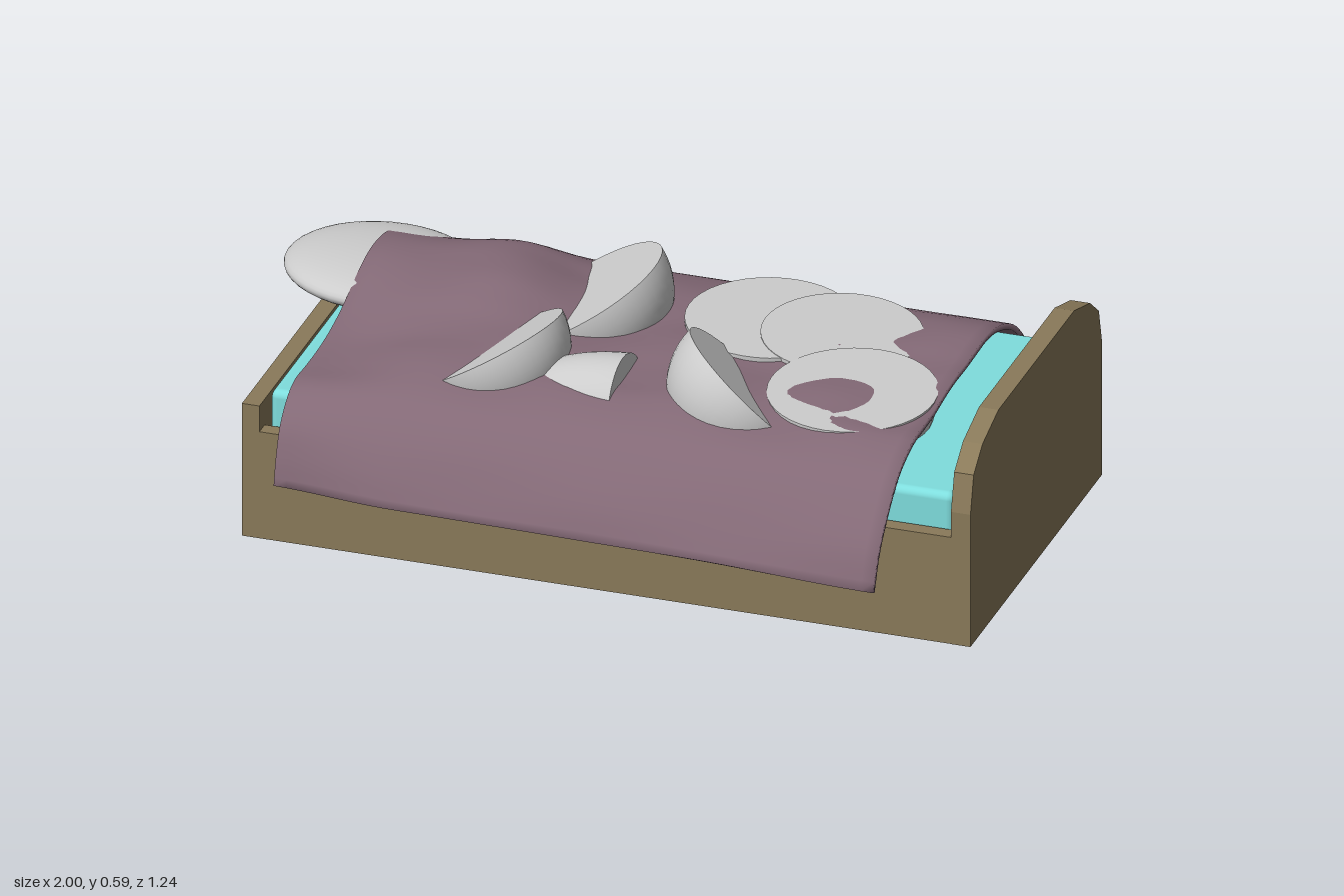
import * as THREE from 'three';
import { RoundedBoxGeometry } from 'three/addons/geometries/RoundedBoxGeometry.js';

const mat = (color, side = THREE.FrontSide) => new THREE.MeshStandardMaterial({ color, side });
const wood = mat(0x8a7a5a);
const teal = mat(0x7fdede);
const cloth = mat(0x836976, THREE.DoubleSide);
const grey = mat(0xcccccc, THREE.DoubleSide);

function add(parent, name, geometry, material, x = 0, y = 0, z = 0) {
  const mesh = new THREE.Mesh(geometry, material);
  mesh.name = name;
  mesh.position.set(x, y, z);
  parent.add(mesh);
  return mesh;
}

// box given by its minimum and maximum corners
function block(parent, name, a, b) {
  const s = b.map((v, i) => v - a[i]);
  const c = b.map((v, i) => (v + a[i]) / 2);
  return add(parent, name, new THREE.BoxGeometry(...s), wood, ...c);
}

// height of the blanket where it lies on the mattress
function blanketTop(x, z) {
  const g = (cx, cz, wx, wz) => Math.exp(-(((x - cx) / wx) ** 2) - ((z - cz) / wz) ** 2);
  const foot = THREE.MathUtils.smoothstep(-x, 0.35, 0.77);
  const front = THREE.MathUtils.smoothstep(z, -0.1, 0.15);
  return 0.452 + 0.055 * g(-0.42, -0.15, 0.17, 0.24) + 0.03 * g(-0.75, -0.2, 0.25, 0.2)
    - 0.045 * foot * front + 0.012 * g(0.8, -0.2, 0.3, 0.25)
    + 0.007 * Math.sin(13 * x + 7 * z) * Math.cos(15 * z - 4 * x);
}

// one cross-section of the blanket, from the back hem to the front hem
function blanketSection(x) {
  const foot = THREE.MathUtils.smoothstep(-x, 0.45, 0.8);
  const hemY = 0.185 - 0.015 * THREE.MathUtils.smoothstep(x, 0.3, 0.8);
  const side = (s) => {
    const out = 0.61 + 0.012 * Math.sin(2.2 * x) - (s < 0 ? 0.06 : 0.03) * foot;
    return [
      [out, hemY],
      [0.53 + (out - 0.53) * 0.55, 0.255 + 0.005 * Math.sin(9 * x + s)],
      [0.515, 0.335],
      [0.43, 0.405 - (s > 0 ? 0.01 * foot : 0)],
    ].map(([z, y]) => new THREE.Vector3(x, y, z * s));
  };
  const middle = [];
  for (let i = -4; i <= 4; i++) {
    const z = i * 0.08;
    middle.push(new THREE.Vector3(x, blanketTop(x, z) - 0.01 * (i / 4) ** 4, z));
  }
  return new THREE.CatmullRomCurve3([...side(-1), ...middle, ...side(1).reverse()]);
}

// closed thin sheet: each ring runs along the upper side and back along the lower side
function blanketGeometry() {
  const nx = 48, nz = 60, ring = 2 * (nz + 1), thick = 0.015;
  const pos = [], index = [];
  for (let i = 0; i <= nx; i++) {
    const curve = blanketSection(-0.77 + (1.56 * i) / nx);
    const upper = [], lower = [];
    for (let j = 0; j <= nz; j++) {
      const p = curve.getPoint(j / nz), t = curve.getTangent(j / nz);
      upper.push(p);
      lower.unshift(new THREE.Vector3(p.x, p.y - t.z * thick, p.z + t.y * thick));
    }
    for (const p of [...upper, ...lower]) pos.push(p.x, p.y, p.z);
  }
  for (let i = 0; i < nx; i++) {
    for (let j = 0; j < ring; j++) {
      const a = i * ring + j, b = i * ring + ((j + 1) % ring);
      index.push(a, b, a + ring, b, b + ring, a + ring);
    }
  }
  // close the two ends
  for (let j = 0; j < nz; j++) {
    const k = ring - 1 - j, e = nx * ring;
    index.push(j, k, j + 1, j + 1, k, k - 1);
    index.push(e + j, e + j + 1, e + k, e + j + 1, e + k - 1, e + k);
  }
  const g = new THREE.BufferGeometry();
  g.setAttribute('position', new THREE.Float32BufferAttribute(pos, 3));
  g.setIndex(index);
  g.computeVertexNormals();
  return g;
}

// half ball with a flat face that looks along the given normal
function halfBall(parent, name, centre, r, normal, depth = 1) {
  const group = new THREE.Group();
  group.name = name;
  const dome = add(group, name + 'Dome',
    new THREE.SphereGeometry(r, 40, 14, 0, Math.PI * 2, Math.PI / 2, Math.PI / 2), grey);
  dome.scale.y = depth;
  add(group, name + 'Face', new THREE.CircleGeometry(r, 40).rotateX(-Math.PI / 2), grey);
  group.position.set(...centre);
  group.quaternion.setFromUnitVectors(new THREE.Vector3(0, 1, 0),
    new THREE.Vector3(...normal).normalize());
  parent.add(group);
}

export function createModel() {
  const model = new THREE.Group();
  model.name = 'bed';

  // wooden frame
  const frame = new THREE.Group();
  frame.name = 'frame';
  model.add(frame);
  block(frame, 'base', [-0.83, 0, -0.45], [0.95, 0.2, 0.46]);
  block(frame, 'backRail', [-0.83, 0, -0.49], [0.95, 0.29, -0.45]);
  block(frame, 'frontRail', [-0.83, 0, 0.46], [0.95, 0.29, 0.5]);
  block(frame, 'footboard', [-0.875, 0, -0.49], [-0.83, 0.36, 0.5]);

  // headboard with stepped round shoulders
  const half = [[0.496, 0], [0.496, 0.36], [0.472, 0.457], [0.405, 0.51], [0.285, 0.546]];
  const outline = [...half, ...half.map(([z, y]) => [-z, y]).reverse()];
  const board = new THREE.ExtrudeGeometry(
    new THREE.Shape(outline.map(([z, y]) => new THREE.Vector2(z, y))),
    { depth: 0.05, bevelEnabled: false });
  add(frame, 'headboard', board.rotateY(Math.PI / 2), wood, 0.95, 0, 0.005);

  // bedding
  add(model, 'mattress', new RoundedBoxGeometry(1.76, 0.18, 0.89, 3, 0.02), teal, 0.06, 0.29, 0.005);
  add(model, 'blanket', blanketGeometry(), cloth);
  const pillow = add(model, 'pillow', new THREE.SphereGeometry(1, 40, 24), grey, -0.75, 0.421, -0.2);
  pillow.scale.set(0.25, 0.056, 0.215);
  pillow.rotation.y = -0.15;

  // half balls scattered over the blanket: centre, radius, face normal, depth
  const balls = [
    [[-0.2, 0.472, -0.135], 0.21, [-0.52, 0.85, 0.06]],
    [[0.26, 0.464, -0.16], 0.21, [0.02, 1, 0.02]],
    [[0.45, 0.462, -0.145], 0.2, [0.03, 1, 0.03]],
    [[0.57, 0.455, 0.13], 0.21, [0, 1, 0.05]],
    [[0.32, 0.44, 0.17], 0.205, [0.61, 0.7, -0.37]],
    [[-0.335, 0.455, 0.185], 0.19, [-0.52, 0.85, -0.1]],
    [[0.02, 0.365, 0.23], 0.135, [1, 0.05, 0], 2.2],
  ];
  balls.forEach(([c, r, n, d], i) => halfBall(model, 'halfBall' + (i + 1), c, r, n, d));

  return model;
}
